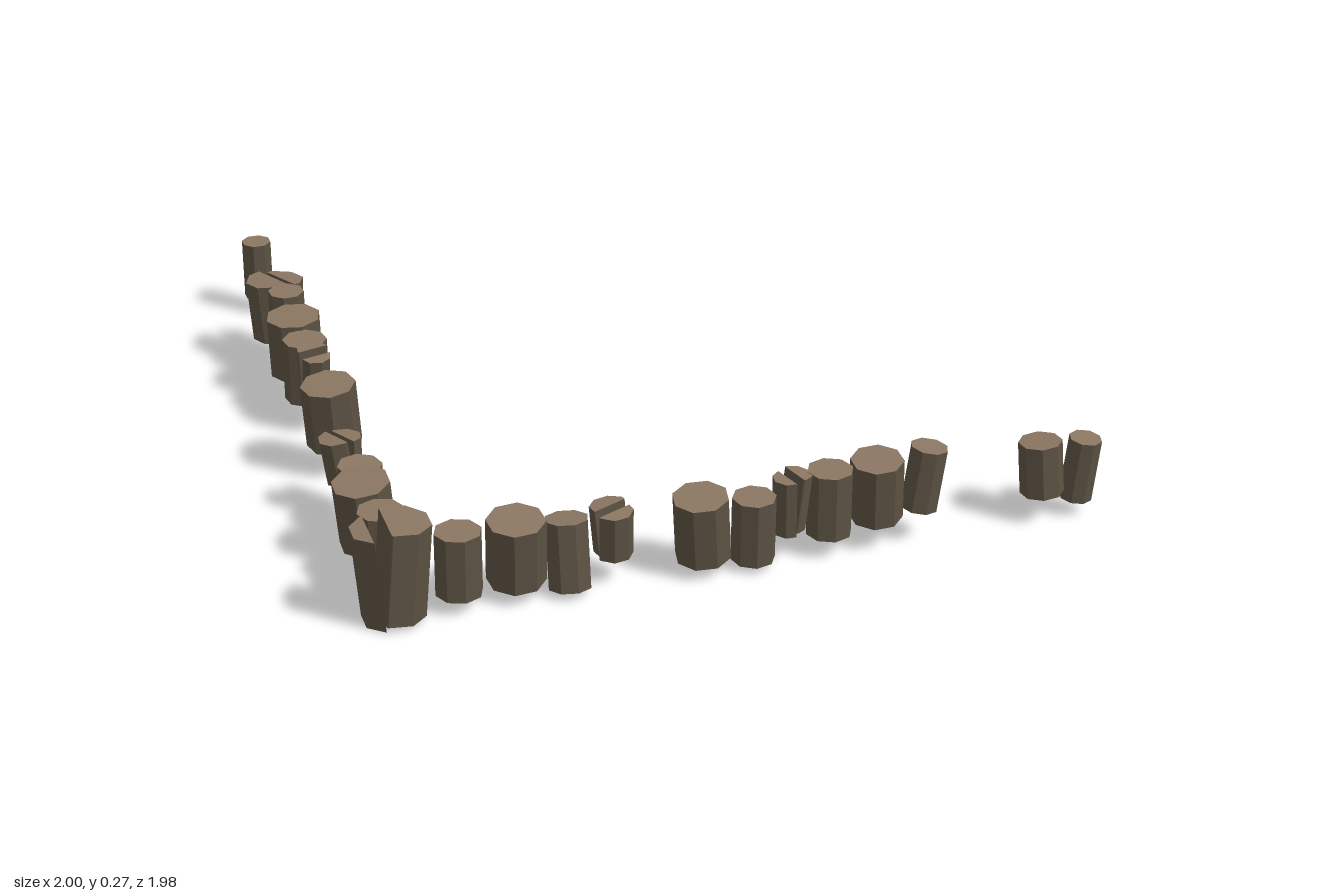
import * as THREE from 'three';

const SIDES = 8;

// Octagon in the ground plane; with a split it keeps only the part on one side of the crack
function outline(r, twist, split, side) {
  const pts = [];
  for (let i = 0; i < SIDES; i++) {
    const a = twist + (i / SIDES) * Math.PI * 2;
    pts.push(new THREE.Vector2(Math.cos(a) * r, Math.sin(a) * r));
  }
  if (!split) return pts;
  const dist = (p) => side * (p.x * split.nx + p.y * split.nz - split.cut * r);
  const kept = [];
  pts.forEach((p, i) => {
    const q = pts[(i + 1) % SIDES];
    const dp = dist(p), dq = dist(q);
    if (dp >= 0) kept.push(p);
    if (dp * dq < 0) kept.push(p.clone().lerp(q, dp / (dp - dq)));
  });
  return kept;
}

// Upright prism centred on its middle; group 0 is the cut ends, group 1 the bark
function prism(points, length) {
  const shape = new THREE.Shape(points.map((p) => new THREE.Vector2(p.x, -p.y)));
  const geo = new THREE.ExtrudeGeometry(shape, { depth: length, bevelEnabled: false });
  geo.translate(0, 0, -length / 2);
  geo.rotateX(-Math.PI / 2);
  return geo;
}

function crack(nx, nz, cut, gap) {
  const l = Math.hypot(nx, nz);
  return { nx: nx / l, nz: nz / l, cut, gap };
}

// Each post: top x, top z, lean x, lean z (top minus bottom), bottom y, top y, radius, crack
const frontRow = [
  [-0.91, 0.9, 0.0, 0.0, 0.01, 0.275, 0.083, crack(-1, 0, 0.42, 0.045)],
  [-0.74, 0.895, 0, 0, 0.04, 0.215, 0.062],
  [-0.59, 0.895, -0.003, 0.018, 0.035, 0.228, 0.077],
  [-0.456, 0.88, 0, -0.032, 0.005, 0.207, 0.058],
  [-0.337, 0.877, -0.006, 0, 0.08, 0.212, 0.051, crack(0.4, 1, 0.1, 0.02)],
  [-0.112, 0.912, -0.014, 0.014, 0.032, 0.225, 0.074],
  [0.03, 0.92, 0, 0.004, 0.018, 0.2, 0.058],
  [0.137, 0.907, 0.008, 0, 0.085, 0.243, 0.043, crack(-1, 0.3, 0.1, 0.022)],
  [0.24, 0.905, 0, 0, 0.055, 0.237, 0.061],
  [0.366, 0.91, -0.008, 0.016, 0.068, 0.254, 0.07],
  [0.513, 0.905, 0.026, 0, 0.08, 0.268, 0.05],
  [0.825, 0.9, -0.01, -0.01, 0.073, 0.23, 0.058],
  [0.95, 0.912, 0.016, 0.008, 0.04, 0.225, 0.044],
];
const sideRow = [
  [-0.888, -0.953, 0, 0, 0.048, 0.223, 0.043],
  [-0.897, -0.622, 0, -0.012, 0.075, 0.258, 0.072, crack(0.9, -0.42, 0.1, 0.028)],
  [-0.888, -0.497, 0, 0, 0.085, 0.265, 0.051],
  [-0.895, -0.368, -0.006, 0.004, 0.07, 0.25, 0.077],
  [-0.89, -0.236, 0, 0, 0.055, 0.235, 0.062],
  [-0.886, -0.13, 0, 0.012, 0.095, 0.252, 0.043, crack(0.25, 1, 0.1, 0.022)],
  [-0.898, 0.112, -0.014, 0.01, 0.078, 0.273, 0.075],
  [-0.917, 0.34, -0.008, -0.006, 0.1, 0.233, 0.05, crack(0.9, -0.42, 0, 0.022)],
  [-0.89, 0.458, 0.004, 0.006, 0.01, 0.2, 0.06],
  [-0.92, 0.6, -0.02, 0.014, 0.033, 0.237, 0.077],
  [-0.9, 0.74, 0, 0, 0.035, 0.217, 0.062],
];

export function createModel() {
  const bark = new THREE.MeshStandardMaterial({ color: 0x5c5243, flatShading: true });
  bark.name = 'bark';
  const cutWood = new THREE.MeshStandardMaterial({ color: 0x8a7662, flatShading: true });
  cutWood.name = 'cutWood';
  const up = new THREE.Vector3(0, 1, 0);

  function post([x, z, leanX, leanZ, y0, y1, r, split], index) {
    const group = new THREE.Group();
    group.name = split ? 'splitPost' : 'post';
    const height = y1 - y0;
    // Split posts are two wedges that spread apart towards the top
    for (const side of split ? [1, -1] : [0]) {
      const spread = split ? side * split.gap * 0.5 : 0;
      const dx = leanX + (split ? split.nx * spread : 0);
      const dz = leanZ + (split ? split.nz * spread : 0);
      const tilt = Math.hypot(dx, dz) / height;
      const length = height - (split ? r : 2 * r) * tilt;
      const points = outline(r, Math.PI / 8 + index * 0.35, split, side);
      const mesh = new THREE.Mesh(prism(points, length), [cutWood, bark]);
      mesh.name = split ? (side > 0 ? 'splitPieceSmall' : 'splitPieceLarge') : 'log';
      mesh.quaternion.setFromUnitVectors(up, new THREE.Vector3(dx, height, dz).normalize());
      const low = side > 0 ? -0.008 : 0;
      mesh.position.set(x - leanX / 2 + (dx - leanX) / 2, (y0 + y1) / 2 + low, z - leanZ / 2 + (dz - leanZ) / 2);
      group.add(mesh);
    }
    return group;
  }

  const model = new THREE.Group();
  model.name = 'palisade';
  for (const [name, posts] of [['frontRow', frontRow], ['sideRow', sideRow]]) {
    const row = new THREE.Group();
    row.name = name;
    posts.forEach((p, i) => row.add(post(p, i)));
    model.add(row);
  }
  return model;
}
